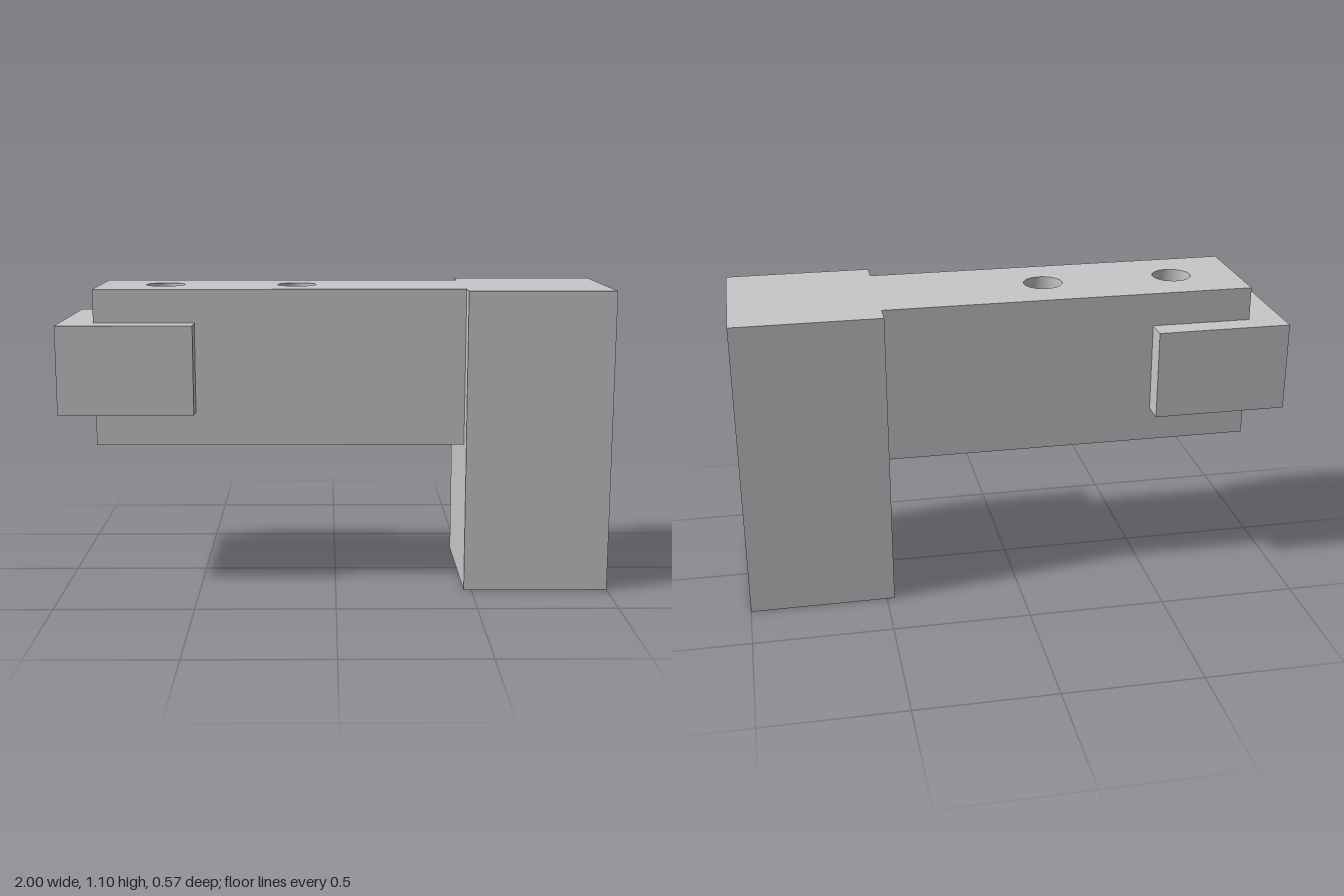
import * as THREE from 'three';

const grey = new THREE.MeshStandardMaterial({ color: 0xc7c7c7 });
grey.name = 'light grey';

// Extrudes a plan outline (x, z) upward from y0 to y1, with round holes at the given x positions
function extrudePlan(name, points, y0, y1, holes = []) {
  const shape = new THREE.Shape(points.map(([x, z]) => new THREE.Vector2(x, -z)));
  for (const x of holes) {
    const hole = new THREE.Path();
    hole.absarc(x, 0, 0.071, 0, Math.PI * 2, true);
    shape.holes.push(hole);
  }
  const geometry = new THREE.ExtrudeGeometry(shape, {
    depth: y1 - y0, bevelEnabled: false, curveSegments: 40,
  });
  geometry.rotateX(-Math.PI / 2).translate(0, y0, 0);
  const mesh = new THREE.Mesh(geometry, grey);
  mesh.name = name;
  return mesh;
}

export function createModel() {
  const group = new THREE.Group();
  group.name = 'drilled bracket';

  const halfBeam = 0.202, halfWide = 0.286;
  const beamEnd = -0.875, postStart = 0.472, collarEnd = -0.51;
  const top = 1.102;

  // Horizontal beam with two vertical through holes
  group.add(extrudePlan('beam', [
    [beamEnd, halfBeam], [postStart, halfBeam], [postStart, -halfBeam], [beamEnd, -halfBeam],
  ], 0.531, top, [-0.633, -0.143]));

  // Upright post at the end of the beam
  const post = new THREE.Mesh(new THREE.BoxGeometry(1 - postStart, top, halfWide * 2), grey);
  post.position.set((1 + postStart) / 2, top / 2, 0);
  post.name = 'post';
  group.add(post);

  // U-shaped collar wrapped around the free end of the beam
  group.add(extrudePlan('collar', [
    [-1, halfWide], [collarEnd, halfWide], [collarEnd, halfBeam], [beamEnd, halfBeam],
    [beamEnd, -halfBeam], [collarEnd, -halfBeam], [collarEnd, -halfWide], [-1, -halfWide],
  ], 0.655, 0.98));

  return group;
}
